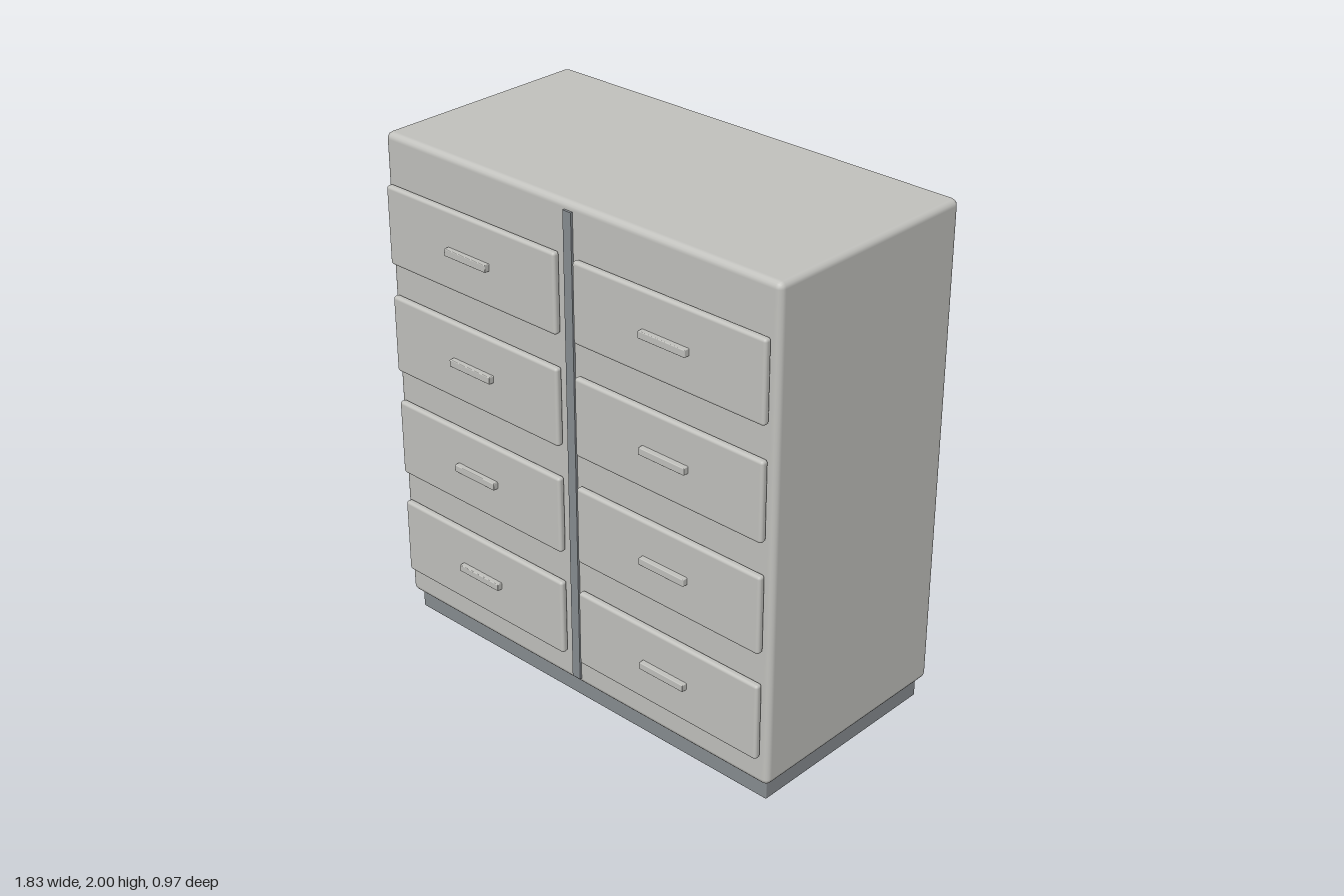
import * as THREE from 'three';
import { RoundedBoxGeometry } from 'three/addons/geometries/RoundedBoxGeometry.js';

export function createModel() {
  const group = new THREE.Group();
  group.name = 'dresser';

  const mat = (name, color) => {
    const m = new THREE.MeshStandardMaterial({ color });
    m.name = name;
    return m;
  };
  const paint = mat('light grey paint', 0xc2c2be);
  const trim = mat('slate grey trim', 0x888d91);

  // Box given by its low and high corners, with optional rounded edges
  const box = (name, material, [x0, y0, z0], [x1, y1, z1], radius = 0) => {
    const size = [x1 - x0, y1 - y0, z1 - z0];
    const geometry = radius
      ? new RoundedBoxGeometry(...size, 2, radius)
      : new THREE.BoxGeometry(...size);
    const mesh = new THREE.Mesh(geometry, material);
    mesh.name = name;
    mesh.position.set((x0 + x1) / 2, (y0 + y1) / 2, (z0 + z1) / 2);
    group.add(mesh);
    return mesh;
  };

  // Recessed plinth and main cabinet
  box('plinth', trim, [-0.89, 0, -0.444], [0.89, 0.1, 0.402], 0.004);
  box('cabinet', paint, [-0.917, 0.08, -0.475], [0.917, 2, 0.432], 0.025);

  // Centre strips on the front and back
  box('frontStrip', trim, [-0.019, 0.105, 0.425], [0.019, 1.97, 0.441]);
  box('backStrip', trim, [-0.019, 0.105, -0.485], [0.019, 1.97, -0.468]);

  // Two columns of four drawers, each with a bar handle
  for (const [side, cx] of [['left', 0.4655], ['right', -0.4655]]) {
    for (let i = 0; i < 4; i++) {
      const cy = 0.355 + i * 0.4347;
      box(`${side}Drawer${i + 1}`, paint,
        [cx - 0.4235, cy - 0.154, 0.435], [cx + 0.4235, cy + 0.154, 0.465], 0.012);
      box(`${side}Handle${i + 1}`, paint,
        [cx - 0.104, cy - 0.014, 0.46], [cx + 0.104, cy + 0.014, 0.486], 0.003);
    }
  }
  return group;
}
